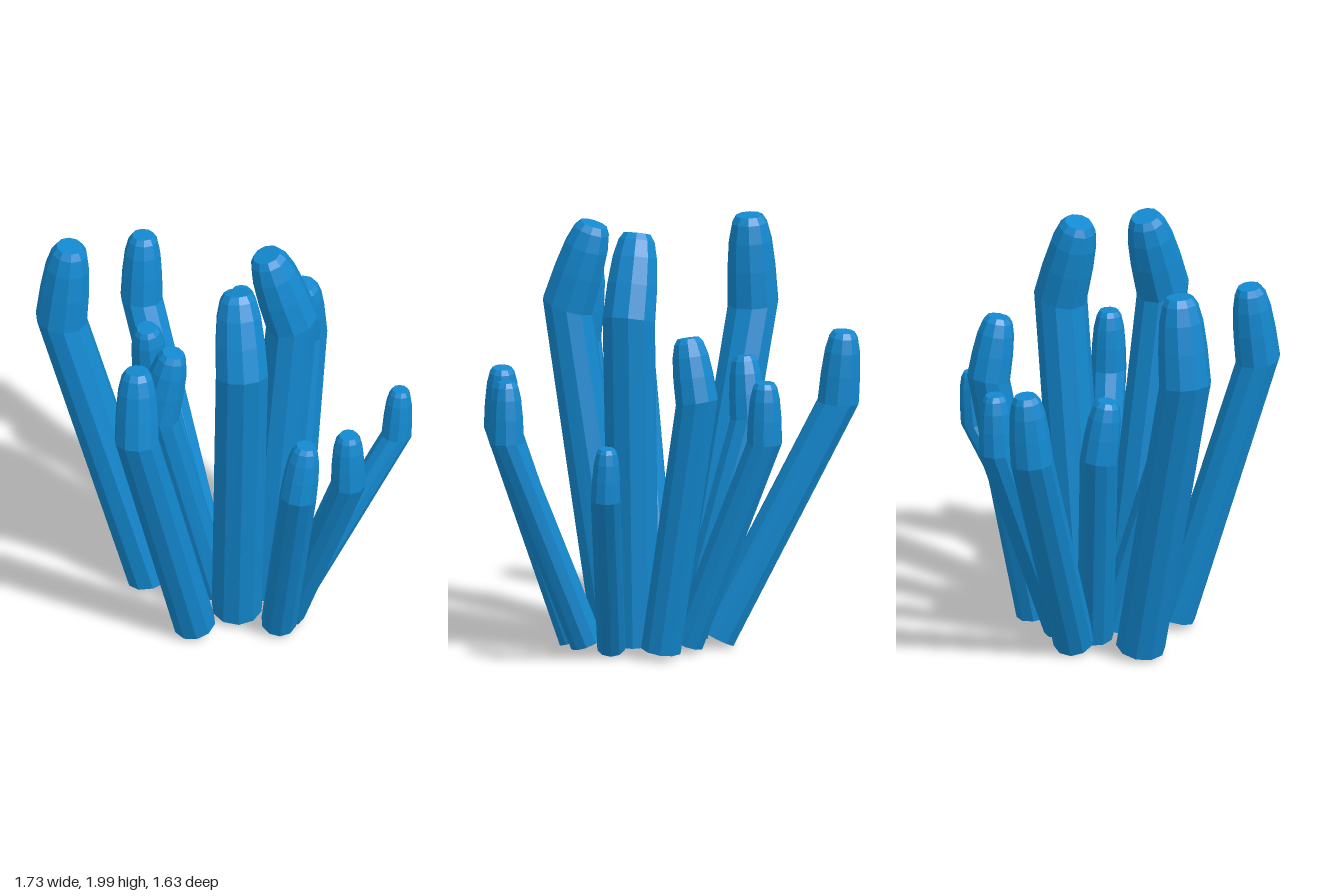
import * as THREE from 'three';

const SIDES = 10;
const UP = new THREE.Vector3(0, 1, 0);

// base, bend and tip centres, then the radius at the bend
const BRANCHES = [
  [[-0.34, 0.05, -0.02], [-0.75, 1.5, -0.13], [-0.71, 1.92, -0.126], 0.122],
  [[-0.08, 0.05, -0.2], [-0.33, 1.15, -0.71], [-0.32, 1.485, -0.742], 0.1],
  [[-0.07, 0.05, 0.08], [-0.335, 1.24, 0.3], [-0.265, 1.6, 0.305], 0.1],
  [[-0.17, 0.05, 0.36], [-0.46, 1.34, 0.62], [-0.455, 1.71, 0.57], 0.105],
  [[0.22, 0.05, 0.38], [0.282, 1.05, 0.725], [0.32, 1.33, 0.71], 0.087],
  [[0.27, 0.05, 0.31], [0.525, 1.02, 0.61], [0.525, 1.305, 0.612], 0.083],
  [[0.33, 0.05, 0.165], [0.797, 0.835, 0.018], [0.815, 1.085, 0.005], 0.071],
  [[0.3, 0.05, -0.07], [0.4, 1.25, -0.285], [0.385, 1.545, -0.235], 0.102],
  [[0.09, 0.05, -0.12], [0.11, 1.02, -0.51], [0.12, 1.305, -0.517], 0.085],
  [[-0.09, 0.05, -0.07], [-0.32, 1.04, -0.27], [-0.345, 1.33, -0.24], 0.09],
  [[0.18, 0.05, 0.11], [0.305, 1.59, 0.088], [0.187, 1.98, 0.09], 0.127],
  [[0.035, 0.05, 0.25], [0.04, 1.59, 0.49], [0.03, 1.98, 0.365], 0.125],
];

// rings above the bend: [fraction of the way to the tip, radius factor]
const CROWN = [[0, 1], [0.4, 0.95], [0.72, 0.85], [0.92, 0.69], [1, 0.52]];

function branchGeometry(base, bend, tip, r) {
  const [a, b, c] = [base, bend, tip].map(p => new THREE.Vector3(...p));
  const facing = (from, to) =>
    new THREE.Quaternion().setFromUnitVectors(UP, to.clone().sub(from).normalize());
  const upper = facing(b, c);
  const rings = [
    { centre: a, radius: r * 0.95, turn: facing(a, b) },
    ...CROWN.map(([t, k]) => ({ centre: b.clone().lerp(c, t), radius: r * k, turn: upper })),
  ];

  // move each ring of a unit cylinder onto the bent, tapering branch
  const n = rings.length - 1;
  const geo = new THREE.CylinderGeometry(1, 1, n, SIDES, n);
  const pos = geo.attributes.position;
  const v = new THREE.Vector3();
  for (let i = 0; i < pos.count; i++) {
    v.fromBufferAttribute(pos, i);
    const ring = rings[Math.round(v.y + n / 2)];
    v.setY(0).multiplyScalar(ring.radius).applyQuaternion(ring.turn).add(ring.centre);
    pos.setXYZ(i, v.x, v.y, v.z);
  }
  geo.computeVertexNormals();
  return geo;
}

export function createModel() {
  const group = new THREE.Group();
  group.name = 'coralCluster';
  const material = new THREE.MeshStandardMaterial({ color: 0x1389d0, flatShading: true });
  BRANCHES.forEach((spec, i) => {
    const branch = new THREE.Mesh(branchGeometry(...spec), material);
    branch.name = `branch${i + 1}`;
    group.add(branch);
  });
  return group;
}
